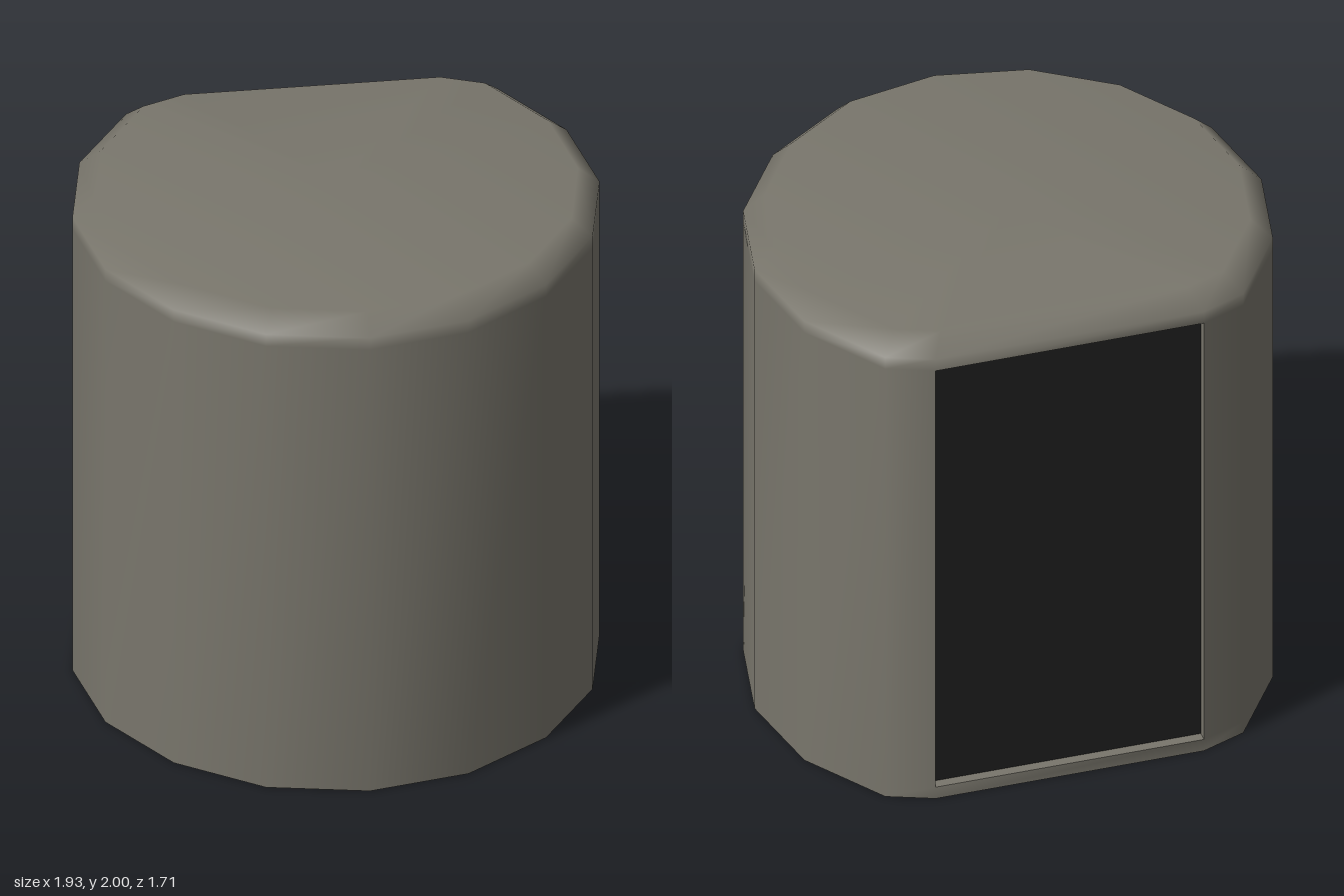
import * as THREE from 'three';

const shellMaterial = new THREE.MeshStandardMaterial({ color: 0x79766c });
shellMaterial.name = 'warm grey';
const panelMaterial = new THREE.MeshStandardMaterial({ color: 0x1d1d1d });
panelMaterial.name = 'near black';

// Half outline in plan [x, z]: back corner, round the left side, to the front tip
const half = [[0.51, -0.857], [0.68, -0.79], [0.89, -0.48], [0.963, -0.11], [0.89, 0.26], [0.68, 0.57], [0.37, 0.78]];
const outline = [...half, [0, 0.853], ...half.map(([x, z]) => [-x, z]).reverse()];
const N = outline.length;

// Opening in the flat back
const W = 1.02, Y0 = 0.05, Y1 = 1.88, BACK = -0.857, DEPTH = 0.04;

function meshGeometry(positions, index) {
  const g = new THREE.BufferGeometry();
  g.setAttribute('position', new THREE.Float32BufferAttribute(positions, 3));
  g.setIndex(index);
  g.computeVertexNormals();
  return g;
}

// Walls, bevel and top share vertices so that they shade smoothly
function shellGeometry() {
  const rows = [[0, 1], [Y0, 1], [Y1, 1], [1.93, 1], [2, 0.917]]; // height, plan scale
  const pos = [], index = [];
  for (const [y, s] of rows) for (const [x, z] of outline) pos.push(x * s, y, z * s);
  for (let r = 0; r < rows.length - 1; r++) {
    for (let i = 0; i < N; i++) {
      if (r === 1 && i === N - 1) continue; // leave the back opening
      const j = (i + 1) % N, a = r * N + i, b = r * N + j;
      index.push(b, a, a + N, b, a + N, b + N);
    }
  }
  const top = (rows.length - 1) * N, centre = rows.length * N;
  pos.push(0, 2, -0.11);
  for (let i = 0; i < N; i++) index.push(centre, top + (i + 1) % N, top + i);
  return meshGeometry(pos, index);
}

function baseGeometry() {
  const pos = [0, 0, -0.11], index = [];
  outline.forEach(([x, z], i) => {
    pos.push(x, 0, z);
    index.push(0, i + 1, (i + 1) % N + 1);
  });
  return meshGeometry(pos, index);
}

export function createModel() {
  const model = new THREE.Group();
  const add = (name, geometry, material, parent = model) => {
    const mesh = new THREE.Mesh(geometry, material);
    mesh.name = name;
    parent.add(mesh);
    return mesh;
  };

  add('shell', shellGeometry(), shellMaterial);
  add('base', baseGeometry(), shellMaterial);

  // Shallow recess walls facing into the opening
  const recess = new THREE.Group();
  recess.name = 'backRecess';
  model.add(recess);
  const mid = (Y0 + Y1) / 2, z = BACK + DEPTH / 2;
  for (const s of [-1, 1]) {
    const side = add('recessSide', new THREE.PlaneGeometry(DEPTH, Y1 - Y0), shellMaterial, recess);
    side.position.set(s * W / 2, mid, z);
    side.rotation.y = -s * Math.PI / 2;
    const ledge = add('recessLedge', new THREE.PlaneGeometry(W, DEPTH), shellMaterial, recess);
    ledge.position.set(0, s < 0 ? Y0 : Y1, z);
    ledge.rotation.x = s * Math.PI / 2;
  }

  // Dark panel at the back of the recess
  const panel = add('backPanel', new THREE.PlaneGeometry(W, Y1 - Y0), panelMaterial, recess);
  panel.position.set(0, mid, BACK + DEPTH);
  panel.rotation.y = Math.PI;

  return model;
}
